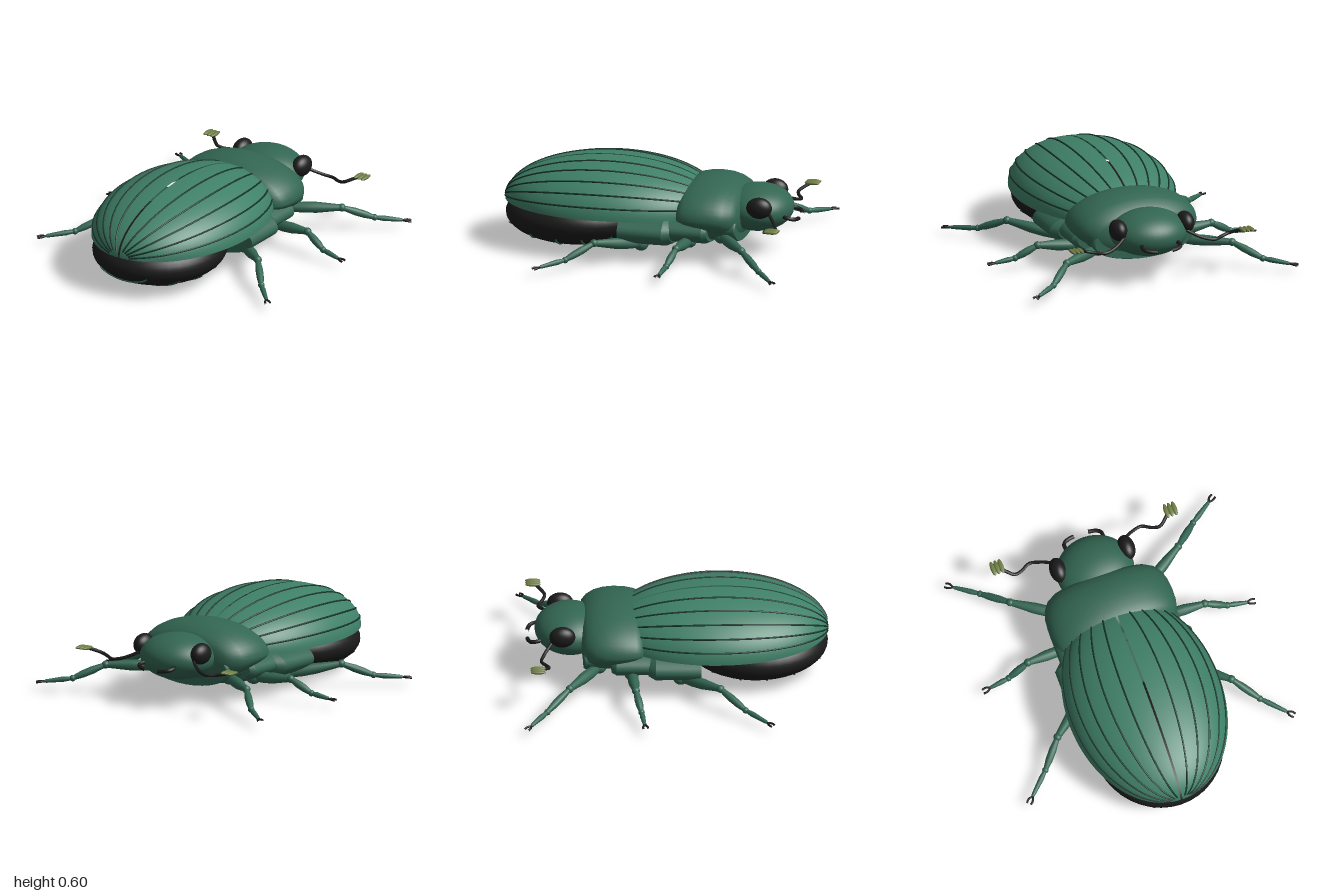
import * as THREE from 'three';

const mat = (name, color, side = THREE.FrontSide) => {
  const m = new THREE.MeshStandardMaterial({ color, side });
  m.name = name;
  return m;
};
const V = (x, y, z) => new THREE.Vector3(x, y, z);

export function createModel() {
  const model = new THREE.Group();
  model.name = 'beetle';
  const shellGreen = mat('shellGreen', 0x3f8068, THREE.DoubleSide);
  const bodyGreen = mat('bodyGreen', 0x336653);
  const grooveGreen = mat('grooveGreen', 0x16332a);
  const black = mat('black', 0x1b1b1c);
  const olive = mat('olive', 0x6c7b42);

  const add = (name, geo, material, parent = model) => {
    const mesh = new THREE.Mesh(geo, material);
    mesh.name = name;
    parent.add(mesh);
    return mesh;
  };
  const ellipsoid = (name, c, r, material, parent) => {
    const m = add(name, new THREE.SphereGeometry(1, 40, 28), material, parent);
    m.position.set(...c);
    m.scale.set(...r);
    return m;
  };
  const tube = (name, pts, r, material, parent, seg = 32) =>
    add(name, new THREE.TubeGeometry(new THREE.CatmullRomCurve3(pts), seg, r, 8), material, parent);

  // Lathed limb segment between two points; profile is [radius, fraction along]
  const limb = (name, a, b, profile, material, parent) => {
    const dir = b.clone().sub(a);
    const len = dir.length();
    const geo = new THREE.LatheGeometry(profile.map(([r, t]) => new THREE.Vector2(r, t * len)), 14);
    const m = add(name, geo, material, parent);
    m.position.copy(a);
    m.quaternion.setFromUnitVectors(V(0, 1, 0), dir.normalize());
    return m;
  };

  // Oval rings [z, centreY, halfWidth, heightAbove, depthBelow] joined from back to front
  const loft = (name, rings, material, n = 48) => {
    const pos = [], idx = [];
    rings.forEach(([z, cy, rx, up, down], i) => {
      for (let j = 0; j < n; j++) {
        const a = (j / n) * Math.PI * 2, s = Math.sin(a);
        pos.push(rx * Math.cos(a), cy + s * (s > 0 ? up : down), z);
        if (i === rings.length - 1) continue;
        const k = (j + 1) % n, p = i * n, q = p + n;
        idx.push(p + j, q + j, p + k, p + k, q + j, q + k);
      }
    });
    const geo = new THREE.BufferGeometry();
    geo.setAttribute('position', new THREE.Float32BufferAttribute(pos, 3));
    geo.setIndex(idx);
    geo.computeVertexNormals();
    return add(name, geo, material);
  };

  // Abdomen with raised segment lines on the belly
  const AB = { y: 0.2, z: 0.53, rx: 0.43, ry: 0.192, rz: 0.467 };
  ellipsoid('abdomen', [0, AB.y, AB.z], [AB.rx, AB.ry, AB.rz], black);
  for (const z of [0.24, 0.42, 0.59, 0.77, 0.94]) {
    const k = Math.sqrt(1 - ((z - AB.z) / AB.rz) ** 2);
    const pts = [];
    for (let i = 0; i <= 16; i++) {
      const a = (i / 16 - 0.5) * 2.2;
      pts.push(V(AB.rx * k * Math.sin(a), AB.y - AB.ry * k * Math.cos(a), z));
    }
    tube('bellySegmentLine', pts, 0.007, bodyGreen);
  }

  // Thorax underparts: stepped oval drums (doubled rings keep the rims crisp)
  const drum = (name, back, front, cy, rx, ry, bevel) => {
    const e = [back, cy, rx, ry, ry];
    const f = [front + bevel, cy, rx, ry, ry];
    const g = [front, cy, rx - bevel, ry - bevel * 0.4, ry - bevel * 0.4];
    loft(name, [[back, cy, 0, 0, 0], e, e, f, f, g, g, [front, cy, 0, 0, 0]], bodyGreen);
  };
  drum('metathorax', 0.16, -0.18, 0.2, 0.47, 0.14, 0.045);
  drum('mesothorax', -0.12, -0.42, 0.21, 0.42, 0.125, 0.03);
  drum('prosternum', -0.3, -0.6, 0.23, 0.35, 0.13, 0.01);

  // Pronotum shield
  loft('pronotum', [
    [-0.2, 0.3, 0, 0, 0],
    [-0.2, 0.3, 0.34, 0.12, 0.03],
    [-0.22, 0.3, 0.39, 0.165, 0.06],
    [-0.26, 0.3, 0.415, 0.19, 0.085],
    [-0.32, 0.3, 0.428, 0.204, 0.11],
    [-0.39, 0.3, 0.43, 0.21, 0.14],
    [-0.46, 0.3, 0.423, 0.205, 0.165],
    [-0.52, 0.3, 0.405, 0.188, 0.175],
    [-0.57, 0.3, 0.37, 0.16, 0.17],
    [-0.6, 0.3, 0.32, 0.13, 0.15],
    [-0.615, 0.3, 0.24, 0.09, 0.1],
    [-0.62, 0.3, 0, 0, 0],
  ], bodyGreen);

  ellipsoid('head', [0, 0.31, -0.68], [0.257, 0.15, 0.232], bodyGreen);

  // Wing cases: two quarter domes cut off at the front, with a slot between them
  const EL = { y: 0.29, z: 0.28, rx: 0.508, ry: 0.31, rz: 0.72 };
  const T0 = Math.acos(-0.56 / EL.rz);
  const onShell = (t, phi, s, lift = 0) => V(
    s * (0.007 + (EL.rx + lift) * Math.sin(t) * Math.sin(phi)),
    EL.y + (EL.ry + lift) * Math.sin(t) * Math.cos(phi),
    EL.z + EL.rz * Math.cos(t));
  const wingCase = (s) => {
    const geo = new THREE.PlaneGeometry(1, 1, 28, 40);
    const p = geo.attributes.position;
    for (let i = 0; i < p.count; i++) {
      const v = onShell((p.getY(i) + 0.5) * T0, (s * p.getX(i) + 0.5) * Math.PI / 2, s);
      p.setXYZ(i, v.x, v.y, v.z);
    }
    // Plane runs +x, +y; on the dome that order faces inward, so flip it
    const ix = geo.index.array;
    const a = V().fromBufferAttribute(p, ix[1500]), b = V().fromBufferAttribute(p, ix[1501]);
    const c = V().fromBufferAttribute(p, ix[1502]);
    const nrm = b.clone().sub(a).cross(c.clone().sub(a));
    if (nrm.dot(a.clone().sub(V(0, EL.y, EL.z))) < 0) {
      for (let i = 0; i < ix.length; i += 3) [ix[i], ix[i + 1]] = [ix[i + 1], ix[i]];
    }
    geo.computeVertexNormals();
    return geo;
  };

  // Leg joints for the left side: root, knee, ankle, toe
  const legs = {
    frontLeg: [[0.28, 0.17, -0.5], [0.58, 0.17, -0.7], [0.735, 0.085, -0.85], [0.89, 0.062, -0.965]],
    middleLeg: [[0.32, 0.14, -0.29], [0.61, 0.165, -0.27], [0.755, 0.085, -0.238], [0.895, 0.062, -0.22]],
    hindLeg: [[0.32, 0.1, 0.03], [0.6, 0.165, 0.28], [0.74, 0.08, 0.44], [0.885, 0.06, 0.585]],
  };

  for (const s of [1, -1]) {
    const side = s > 0 ? 'left' : 'right';
    const P = ([x, y, z]) => V(s * x, y, z);

    add(side + 'WingCase', wingCase(s), shellGreen);
    for (let i = 1; i <= 5; i++) {
      const pts = [];
      for (let j = 0; j <= 24; j++)
        pts.push(onShell(0.14 + (T0 - 0.14) * j / 24, i * Math.PI / 12, s, 0.001));
      tube(side + 'WingGroove', pts, 0.006, grooveGreen, model, 48);
    }

    ellipsoid(side + 'Eye', [s * 0.235, 0.365, -0.738], [0.056, 0.07, 0.085], black);

    // Antenna with a three-plate club
    const antenna = new THREE.Group();
    antenna.name = side + 'Antenna';
    model.add(antenna);
    tube('antennaStalk', [[0.21, 0.335, -0.79], [0.25, 0.31, -0.82], [0.32, 0.28, -0.86], [0.385, 0.268, -0.878],
      [0.45, 0.272, -0.845], [0.5, 0.283, -0.832], [0.55, 0.305, -0.865], [0.58, 0.318, -0.895]].map(P),
    0.011, black, antenna);
    for (const x of [0.57, 0.598, 0.626])
      ellipsoid('clubPlate', [s * x, 0.32, -0.905], [0.016, 0.012, 0.05], olive, antenna);

    // Mandible
    tube(side + 'Mandible', [[0.1, 0.29, -0.84], [0.13, 0.28, -0.895], [0.125, 0.272, -0.93],
      [0.095, 0.265, -0.95], [0.05, 0.26, -0.96]].map(P), 0.013, black, model, 20);

    for (const [name, joints] of Object.entries(legs)) {
      const leg = new THREE.Group();
      leg.name = side + name[0].toUpperCase() + name.slice(1);
      model.add(leg);
      const [root, knee, ankle, toe] = joints.map(P);
      ellipsoid('coxa', root.toArray(), [0.05, 0.045, 0.05], bodyGreen, leg);
      limb('femur', root, knee, [[0.026, 0], [0.036, 0.3], [0.036, 0.55], [0.02, 1]], bodyGreen, leg);
      ellipsoid('knee', knee.toArray(), [0.026, 0.026, 0.026], bodyGreen, leg);
      limb('tibia', knee, ankle, [[0.016, 0], [0.025, 0.4], [0.024, 0.7], [0.015, 1]], bodyGreen, leg);
      ellipsoid('ankle', ankle.toArray(), [0.021, 0.021, 0.021], bodyGreen, leg);
      limb('tarsus', ankle, toe, [[0.012, 0], [0.018, 0.3], [0.012, 0.9], [0, 1]], bodyGreen, leg);
      // Paired claws spreading from the toe
      const dir = toe.clone().sub(ankle).setY(0).normalize();
      const across = V(-dir.z, 0, dir.x);
      for (const k of [1, -1]) {
        const tip = toe.clone().addScaledVector(dir, 0.045).addScaledVector(across, 0.014 * k);
        tip.y -= 0.005;
        const start = toe.clone().addScaledVector(dir, -0.012);
        const mid = toe.clone().addScaledVector(dir, 0.018).addScaledVector(across, 0.015 * k);
        tube('claw', [start, mid, tip], 0.007, black, leg, 8);
      }
    }
  }
  return model;
}
